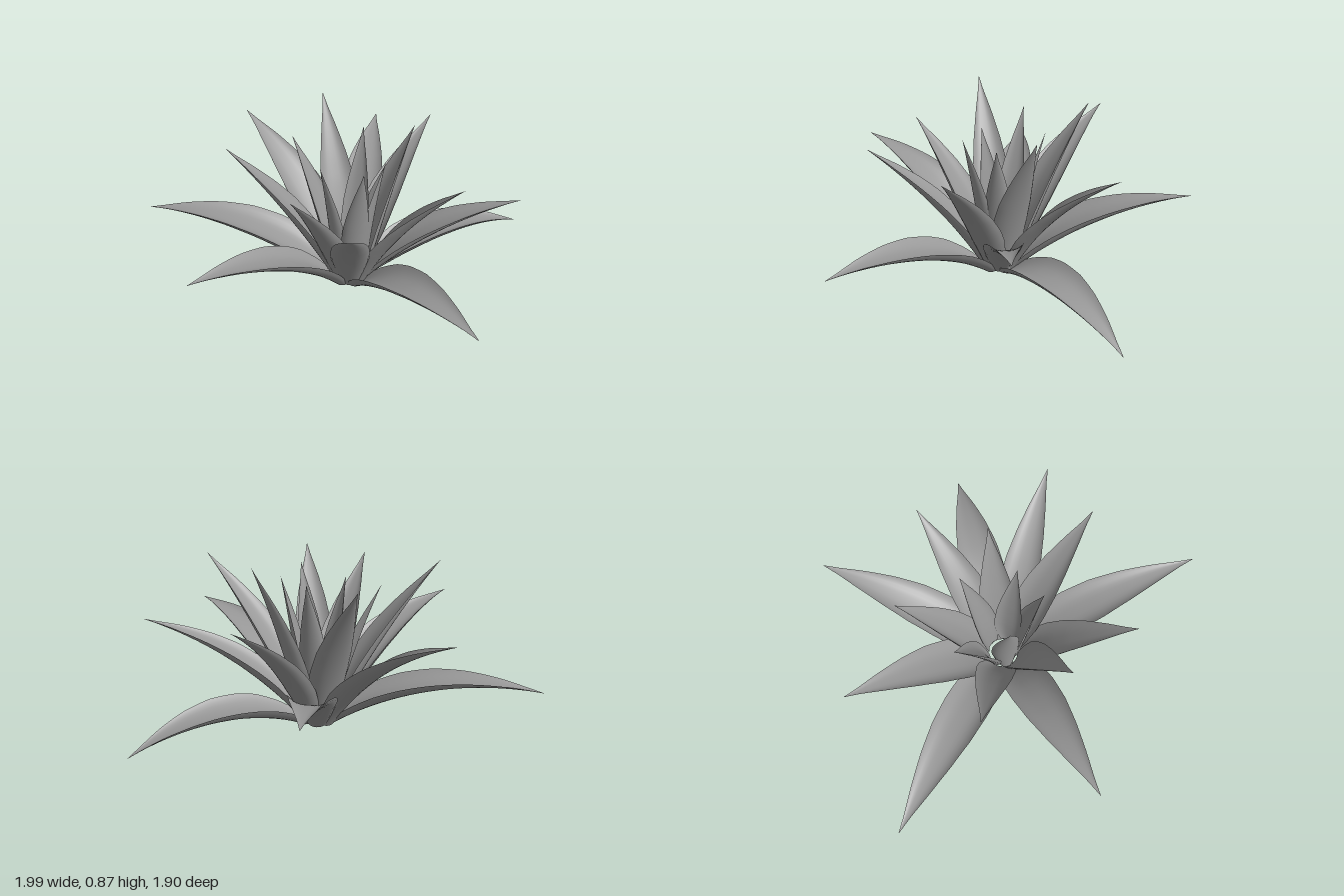
import * as THREE from 'three';

const leafGrey = new THREE.MeshStandardMaterial({ color: 0x999999 });
leafGrey.name = 'leafGrey';

// Centre of the rosette
const CX = -0.04, CZ = -0.12;
const ROWS = 28, COLS = 12;

// Leaf width along its length, as a share of the widest point
const WIDTHS = [[0, 0.5], [0.12, 0.78], [0.25, 0.97], [0.35, 1], [0.5, 0.92], [0.65, 0.71], [0.8, 0.42], [0.92, 0.15], [1, 0.008]];
function widthAt(t) {
  let k = 0;
  while (k < WIDTHS.length - 2 && t > WIDTHS[k + 1][0]) k++;
  const [t0, w0] = WIDTHS[k], [t1, w1] = WIDTHS[k + 1];
  return w0 + (w1 - w0) * (t - t0) / (t1 - t0);
}

// A thick channelled leaf: rounded underside, flatter upper side with raised margins
function leafGeometry(tipX, tipY, tipZ, arch, width, baseY, baseR) {
  const angle = Math.atan2(tipZ - CZ, tipX - CX);
  const out = new THREE.Vector3(Math.cos(angle), 0, Math.sin(angle));
  const side = new THREE.Vector3(-out.z, 0, out.x);
  const base = new THREE.Vector3(CX, baseY, CZ).addScaledVector(out, baseR);
  const tip = new THREE.Vector3(tipX, tipY, tipZ);
  const chord = tip.clone().sub(base).normalize();
  const bend = base.clone().lerp(tip, 0.5).addScaledVector(side.clone().cross(chord), arch);
  const spine = new THREE.QuadraticBezierCurve3(base, bend, tip);

  const pos = [], index = [];
  const sweep = 75 * Math.PI / 180;
  const addRow = (t, upper) => {
    const p = spine.getPoint(t), normal = side.clone().cross(spine.getTangent(t));
    const w = width * widthAt(t), depth = w * (0.34 - 0.1 * t);
    for (let j = 0; j <= COLS; j++) {
      const f = -1 + 2 * j / COLS;
      const u = Math.sin(f * sweep) / Math.sin(sweep);
      const round = (1 - Math.cos(f * sweep)) / (1 - Math.cos(sweep));
      const v = upper ? depth * (0.4 + 0.6 * Math.pow(Math.abs(u), 3)) : depth * round;
      const q = p.clone().addScaledVector(side, u * w / 2).addScaledVector(normal, v);
      pos.push(q.x, q.y, q.z);
    }
  };
  const n = COLS + 1;
  for (const upper of [true, false]) {
    const start = pos.length / 3;
    for (let i = 0; i <= ROWS; i++) addRow(i / ROWS, upper);
    for (let i = 0; i < ROWS; i++) for (let j = 0; j < COLS; j++) {
      const a = start + i * n + j, b = a + 1, c = a + n, d = c + 1;
      if (upper) index.push(a, b, c, b, d, c);
      else index.push(a, c, b, b, c, d);
    }
  }
  // Cap at the foot of the leaf
  const cap = pos.length / 3;
  addRow(0, false);
  addRow(0, true);
  for (let j = 0; j < COLS; j++) {
    const a = cap + j, c = a + n;
    index.push(a, a + 1, c + 1, a, c + 1, c);
  }
  const g = new THREE.BufferGeometry();
  g.setAttribute('position', new THREE.Float32BufferAttribute(pos, 3));
  g.setIndex(index);
  g.computeVertexNormals();
  return g;
}

// Each leaf: tip x, y, z, then arch height
const OUTER = [
  [-0.84, 0.26, -0.90, 0.21], [0.56, 0.44, -0.89, 0.17], [0.99, 0.05, -0.06, 0.23],
  [0.04, 0.36, 0.95, 0.19], [-1.00, 0.47, 0.07, 0.19], [-0.22, 0.66, -0.95, 0.14],
];
const MIDDLE = [
  [0.68, 0.55, 0.36, 0.14], [0.59, 0.70, -0.36, 0.11], [0.27, 0.80, 0.45, 0.08],
  [-0.35, 0.74, 0.47, 0.08], [-0.47, 0.77, 0.10, 0.06], [-0.58, 0.84, -0.38, 0.06],
  [0.07, 0.86, -0.60, 0.06], [0.31, 0.87, -0.07, 0.04],
];
const INNER = [
  [0.13, 0.81, -0.27, 0.02], [-0.21, 0.79, -0.40, 0.03], [-0.07, 0.79, 0.09, 0.02],
  [-0.20, 0.75, -0.12, 0.02], [0.10, 0.77, 0.01, 0.02],
];

export function createModel() {
  const model = new THREE.Group();
  model.name = 'rosettePlant';
  const addRing = (name, leaves, width, baseY, baseR) => {
    const ring = new THREE.Group();
    ring.name = name + 'Leaves';
    leaves.forEach(([x, y, z, arch], i) => {
      const leaf = new THREE.Mesh(leafGeometry(x, y, z, arch, width, baseY, baseR), leafGrey);
      leaf.name = name + 'Leaf' + (i + 1);
      ring.add(leaf);
    });
    model.add(ring);
  };
  addRing('outer', OUTER, 0.235, 0.005, 0.09);
  addRing('middle', MIDDLE, 0.2, 0.02, 0.09);
  addRing('inner', INNER, 0.15, 0.04, 0.085);
  return model;
}
